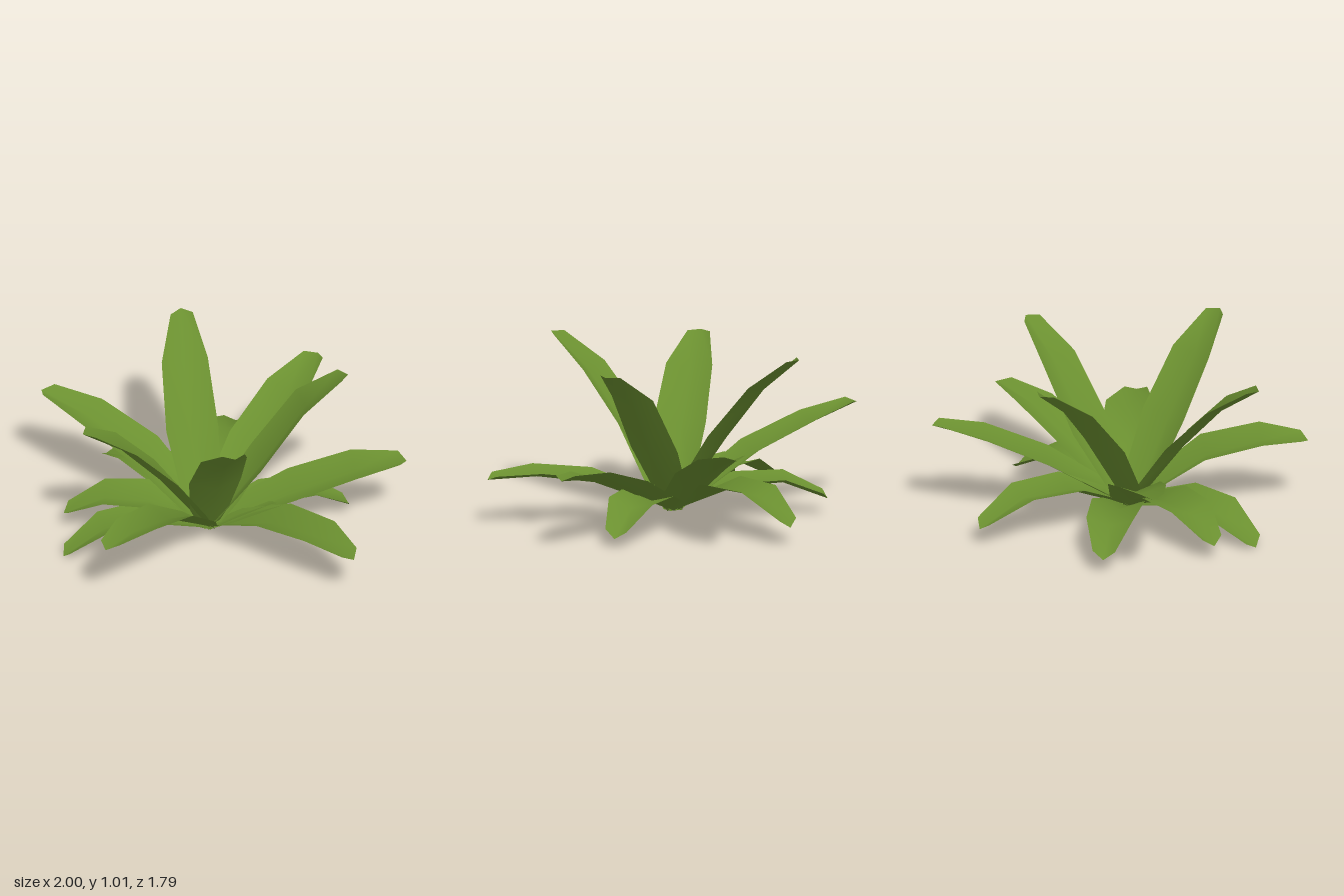
import * as THREE from 'three';

const leafGreen = new THREE.MeshStandardMaterial({ color: 0x6b9030, side: THREE.DoubleSide });
leafGreen.name = 'leafGreen';

// Crown point from which all leaves grow
const CROWN = { x: -0.13, z: 0.03 };

// Shared leaf outline: half width, depth of the V fold, share of sideways bow and of roll
const HALF_WIDTH = [0.055, 0.115, 0.152, 0.135, 0.065];
const FOLD = [0.015, 0.045, 0.055, 0.045, 0.03];
const BOW = [0, 0.6, 1, 0.8, 0];
const ROLL = [0, 0.5, 1, 1, 0.5];

// Each tier: stations along the leaf, and per leaf
// tip x, tip z, bow, roll, then the midrib heights at the stations
const TIERS = {
  upperLeaf: {
    stations: [0, 0.14, 0.4, 0.7, 1],
    leaves: [
      [-0.12, -0.78, -0.04, 0, 0.04, 0.19, 0.50, 0.81, 1.015],
      [-0.145, 0.815, 0.017, 0, 0.04, 0.19, 0.50, 0.81, 1.015],
      [0.68, 0.065, -0.03, 0, 0.04, 0.17, 0.43, 0.79, 0.995],
      [-0.915, 0.235, -0.015, 0, 0.04, 0.18, 0.47, 0.745, 0.92],
    ],
  },
  middleLeaf: {
    stations: [0, 0.14, 0.43, 0.74, 1],
    leaves: [
      [0.685, -0.775, -0.008, 0, 0.04, 0.13, 0.33, 0.50, 0.595],
      [-0.945, -0.745, 0.035, 0, 0.04, 0.13, 0.35, 0.50, 0.59],
      [0.995, 0.195, 0.01, -0.015, 0.04, 0.11, 0.26, 0.39, 0.44],
      [-0.885, 0.715, -0.025, -0.015, 0.04, 0.14, 0.34, 0.425, 0.43],
      [0.535, 0.89, -0.04, 0, 0.04, 0.11, 0.24, 0.29, 0.275],
    ],
  },
  lowerLeaf: {
    stations: [0, 0.14, 0.41, 0.71, 1],
    leaves: [
      [0.70, 0.0, 0, 0.012, 0.04, 0.09, 0.17, 0.185, 0.055],
      [-1.0, 0.105, 0, -0.015, 0.04, 0.08, 0.15, 0.15, 0.005],
      [-0.935, -0.19, 0, 0, 0.04, 0.10, 0.20, 0.215, 0.10],
      [-0.565, -0.745, 0.01, 0, 0.04, 0.09, 0.18, 0.20, 0.10],
      [0.23, -0.895, -0.01, 0, 0.04, 0.11, 0.235, 0.25, 0.115],
    ],
  },
};

// Leaf blade: a row of left edge, midrib and right edge at each station
function leafGeometry(stations, [tipX, tipZ, bow, roll, ...heights]) {
  const dx = tipX - CROWN.x, dz = tipZ - CROWN.z;
  const reach = Math.hypot(dx, dz);
  const out = new THREE.Vector3(dx / reach, 0, dz / reach);
  const side = new THREE.Vector3(-out.z, 0, out.x);
  const last = stations.length - 1;
  const rib = stations.map((t, i) =>
    new THREE.Vector3(CROWN.x, heights[i], CROWN.z)
      .addScaledVector(out, reach * t)
      .addScaledVector(side, bow * BOW[i]));
  const positions = [], index = [];

  rib.forEach((point, i) => {
    const along = rib[Math.min(i + 1, last)].clone().sub(rib[Math.max(i - 1, 0)]).normalize();
    const up = new THREE.Vector3().crossVectors(side, along).normalize();
    for (const s of [-1, 0, 1]) {
      const p = point.clone();
      if (s) {
        p.addScaledVector(side, s * HALF_WIDTH[i]).addScaledVector(up, FOLD[i] + s * roll * ROLL[i]);
        if (i === last) p.addScaledVector(along, -0.04); // blunt pointed tip
      }
      positions.push(p.x, p.y, p.z);
    }
    if (i < last) {
      for (const a of [3 * i, 3 * i + 1]) index.push(a, a + 1, a + 3, a + 1, a + 4, a + 3);
    }
  });

  const geometry = new THREE.BufferGeometry();
  geometry.setAttribute('position', new THREE.Float32BufferAttribute(positions, 3));
  geometry.setIndex(index);
  geometry.computeVertexNormals();
  return geometry;
}

export function createModel() {
  const plant = new THREE.Group();
  plant.name = 'rosettePlant';
  for (const [name, { stations, leaves }] of Object.entries(TIERS)) {
    leaves.forEach((leaf, i) => {
      const mesh = new THREE.Mesh(leafGeometry(stations, leaf), leafGreen);
      mesh.name = `${name}${i + 1}`;
      plant.add(mesh);
    });
  }
  return plant;
}
